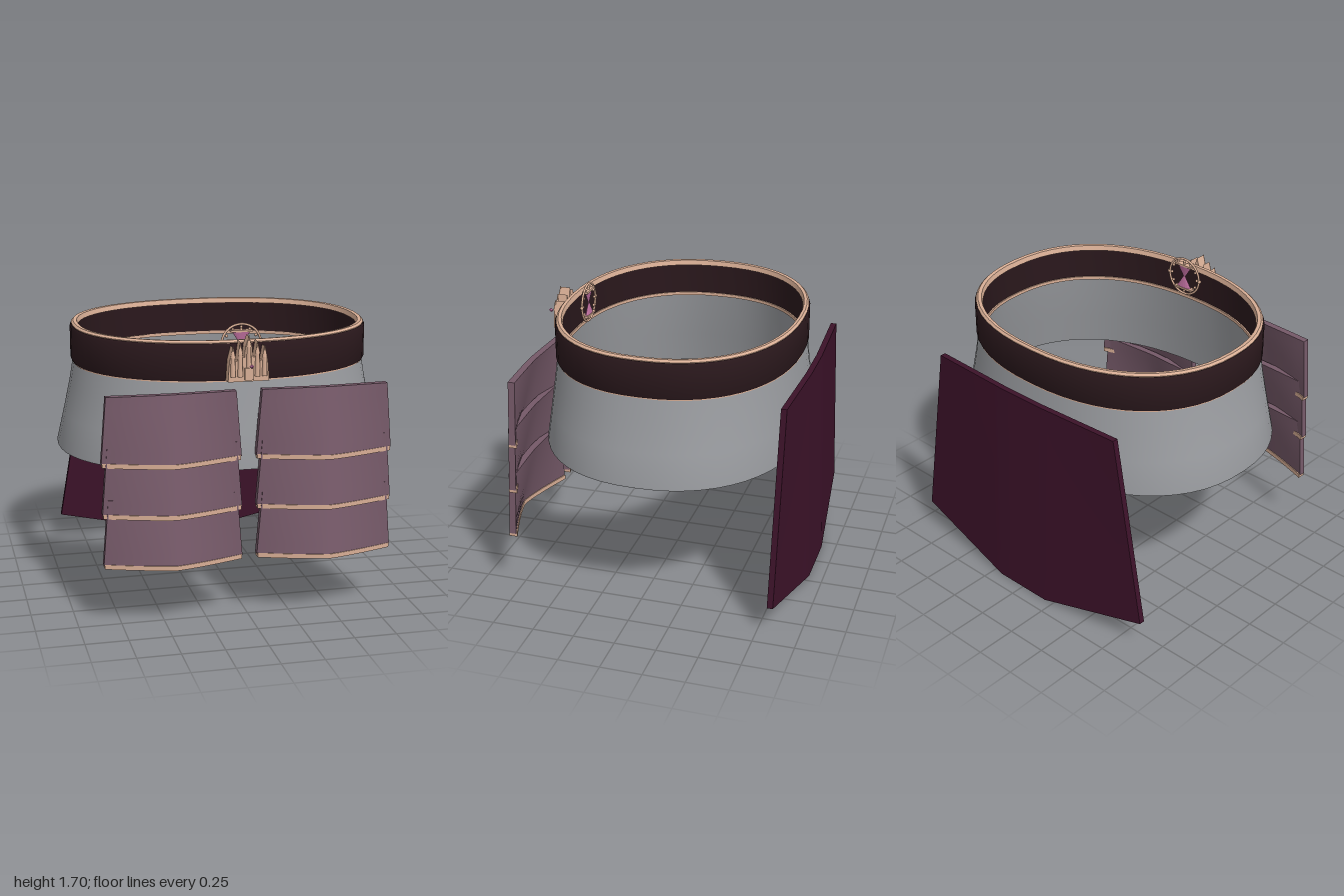
import * as THREE from 'three';
import { toCreasedNormals } from 'three/addons/utils/BufferGeometryUtils.js';

const mat = (color) => new THREE.MeshStandardMaterial({ color, roughness: 0.8 });

export function createModel() {
  const model = new THREE.Group();
  const dark = mat(0x2a181c), tan = mat(0xd8ae95), grey = mat(0x9a9ca0);
  const plum = mat(0x755968), wine = mat(0x3c1229), pink = mat(0xc070a0);

  const add = (parent, name, geometry, material, x = 0, y = 0, z = 0) => {
    const mesh = new THREE.Mesh(geometry, material);
    mesh.name = name;
    mesh.position.set(x, y, z);
    parent.add(mesh);
    return mesh;
  };

  // Sweeps a closed counter-clockwise profile [half width x, half depth z, y] round a rounded oval
  function ovalRing(profile, sides = 56) {
    const pos = [], index = [], n = profile.length;
    const soft = (t) => Math.sign(t) * Math.abs(t) ** (2 / 2.25);
    for (let i = 0; i < sides; i++) {
      const t = (i / sides) * Math.PI * 2;
      for (const [a, b, y] of profile) pos.push(a * soft(Math.cos(t)), y, -0.045 + b * soft(Math.sin(t)));
      for (let j = 0; j < n; j++) {
        const i2 = (i + 1) % sides, j2 = (j + 1) % n;
        const p = i * n + j, q = i * n + j2, r = i2 * n + j2, s = i2 * n + j;
        index.push(p, q, r, p, r, s);
      }
    }
    const g = new THREE.BufferGeometry();
    g.setAttribute('position', new THREE.Float32BufferAttribute(pos, 3));
    g.setIndex(index);
    return toCreasedNormals(g, 0.6);
  }

  // Bends a box: u runs -1..1 across, v 0..1 upward, w 0..1 back to front
  function bentSlab(across, up, rule) {
    const g = new THREE.BoxGeometry(2, 1, 1, across, up, 1);
    const p = g.attributes.position;
    for (let i = 0; i < p.count; i++) {
      p.setXYZ(i, ...rule(p.getX(i), p.getY(i) + 0.5, p.getZ(i) + 0.5));
    }
    return toCreasedNormals(g, 0.5);
  }

  // Flared skirt shell
  add(model, 'skirt', ovalRing([
    [0.98, 0.775, 0.88], [0.995, 0.79, 0.88], [0.995, 0.79, 0.89], [0.95, 0.765, 1.08],
    [0.91, 0.742, 1.26], [0.886, 0.726, 1.4], [0.871, 0.711, 1.4], [0.895, 0.727, 1.26], [0.935, 0.75, 1.08],
  ]), grey);

  // Waist belt with its upper and lower trim
  add(model, 'belt', ovalRing([
    [0.86, 0.7, 1.4], [0.895, 0.73, 1.395], [0.9, 0.735, 1.405], [0.9, 0.735, 1.595],
    [0.893, 0.728, 1.61], [0.86, 0.7, 1.61],
  ]), dark);
  add(model, 'upperBeltTrim', ovalRing([
    [0.85, 0.69, 1.595], [0.888, 0.725, 1.6], [0.892, 0.728, 1.615], [0.88, 0.716, 1.627], [0.858, 0.698, 1.625],
  ]), tan);
  add(model, 'lowerBeltTrim', ovalRing([
    [0.85, 0.69, 1.388], [0.892, 0.729, 1.388], [0.892, 0.729, 1.402], [0.85, 0.69, 1.408],
  ]), tan);

  // Front tassets: three overlapping plates per side
  const ridge = (u, v) => (0.115 - 0.095 * v) * (1 - Math.abs(u) ** 1.25);
  for (const side of [1, -1]) {
    const tasset = new THREE.Group();
    tasset.name = side > 0 ? 'leftTasset' : 'rightTasset';
    tasset.position.x = side * 0.448;
    for (let i = 0; i < 3; i++) {
      const base = 0.97 - i * 0.295, z = 0.728 + i * 0.0125;
      add(tasset, 'plate' + (i + 1), bentSlab(12, 6, (u, v, w) =>
        [u * (0.405 - 0.032 * v), base + 0.385 * v, z + 0.042 * w + ridge(u, v)]), plum);
      add(tasset, 'plateTrim' + (i + 1), bentSlab(12, 1, (u, v, w) =>
        [u * 0.4, base - 0.02 + 0.027 * v, z - 0.006 + 0.052 * w + ridge(u, 0)]), tan);
    }
    model.add(tasset);
  }

  // Back panel: pointed lower edge, folded either side of a flat centre
  const outward = (u) => Math.max(0, (Math.abs(u) - 0.21) / 0.79);
  add(model, 'backPanel', bentSlab(20, 6, (u, v, w) => {
    // the column at 0.2 is moved onto the fold
    const s = Math.abs(Math.abs(u) - 0.2) < 0.01 ? Math.sign(u) * 0.21 : u;
    const f = outward(s), bottom = 0.175 * f;
    const y = bottom + (1.34 - bottom) * v;
    const width = 0.905 - 0.205 * Math.max(0, (y - 0.175) / 1.165);
    const centre = -0.912 + 0.044 * v;
    return [s * width, y, centre + (-0.845 - centre) * f + 0.035 * w];
  }), wine);

  // Castle buckle: stepped spires cut from one outline
  const buckle = new THREE.Group();
  buckle.name = 'castleBuckle';
  model.add(buckle);
  const half = [[0.12, 1.4], [0.112, 1.52], [0.092, 1.6], [0.078, 1.52], [0.066, 1.52],
    [0.05, 1.63], [0.036, 1.54], [0.024, 1.54], [0.02, 1.6]];
  const outline = [...half, [0, 1.66], ...half.slice().reverse().map(([x, y]) => [-x, y])];
  const shape = new THREE.Shape(outline.map(([x, y]) => new THREE.Vector2(x, y)));
  add(buckle, 'castleWall', new THREE.ExtrudeGeometry(shape, { depth: 0.06, bevelEnabled: false }), tan, 0, 0, 0.69);
  for (const [x, top] of [[-0.092, 1.56], [-0.05, 1.58], [0, 1.62], [0.05, 1.58], [0.092, 1.56]]) {
    add(buckle, 'tower', new THREE.CylinderGeometry(0.012, 0.016, top - 1.45, 8), tan, x, (top + 1.41) / 2, 0.752);
    add(buckle, 'spire', new THREE.ConeGeometry(0.015, 0.07, 8), tan, x, top + 0.015, 0.752);
  }
  add(buckle, 'door', new THREE.BoxGeometry(0.05, 0.07, 0.02), tan, 0, 1.445, 0.757);
  const gem = add(buckle, 'gem', new THREE.OctahedronGeometry(0.014), pink, 0, 1.5, 0.82);
  gem.material.flatShading = true;

  // Hourglass medallion inside the front of the belt
  const medallion = new THREE.Group();
  medallion.name = 'hourglassMedallion';
  medallion.position.set(0, 1.58, 0.57);
  model.add(medallion);
  add(medallion, 'ring', new THREE.TorusGeometry(0.117, 0.007, 8, 40), tan);
  for (let i = 0; i < 12; i++) {
    const t = (i / 12) * Math.PI * 2;
    add(medallion, 'bead', new THREE.SphereGeometry(0.009, 8, 6), tan, 0.1 * Math.cos(t), 0.1 * Math.sin(t), 0);
  }
  for (const s of [1, -1]) {
    const bulb = add(medallion, 'hourglassBulb', new THREE.CylinderGeometry(0.055, 0.007, 0.075, 16), pink, 0, s * 0.037, 0);
    bulb.scale.z = 0.28;
    if (s < 0) bulb.rotation.x = Math.PI;
    add(medallion, 'hourglassCap', new THREE.BoxGeometry(0.13, 0.012, 0.036), tan, 0, s * 0.078, 0);
    add(medallion, 'sideKnob', new THREE.SphereGeometry(0.011, 8, 6), tan, s * 0.122, 0, 0);
    add(medallion, 'endSpike', new THREE.ConeGeometry(0.01, 0.04, 8), tan, 0, s * 0.1, 0).rotation.x = s < 0 ? Math.PI : 0;
  }

  return model;
}
